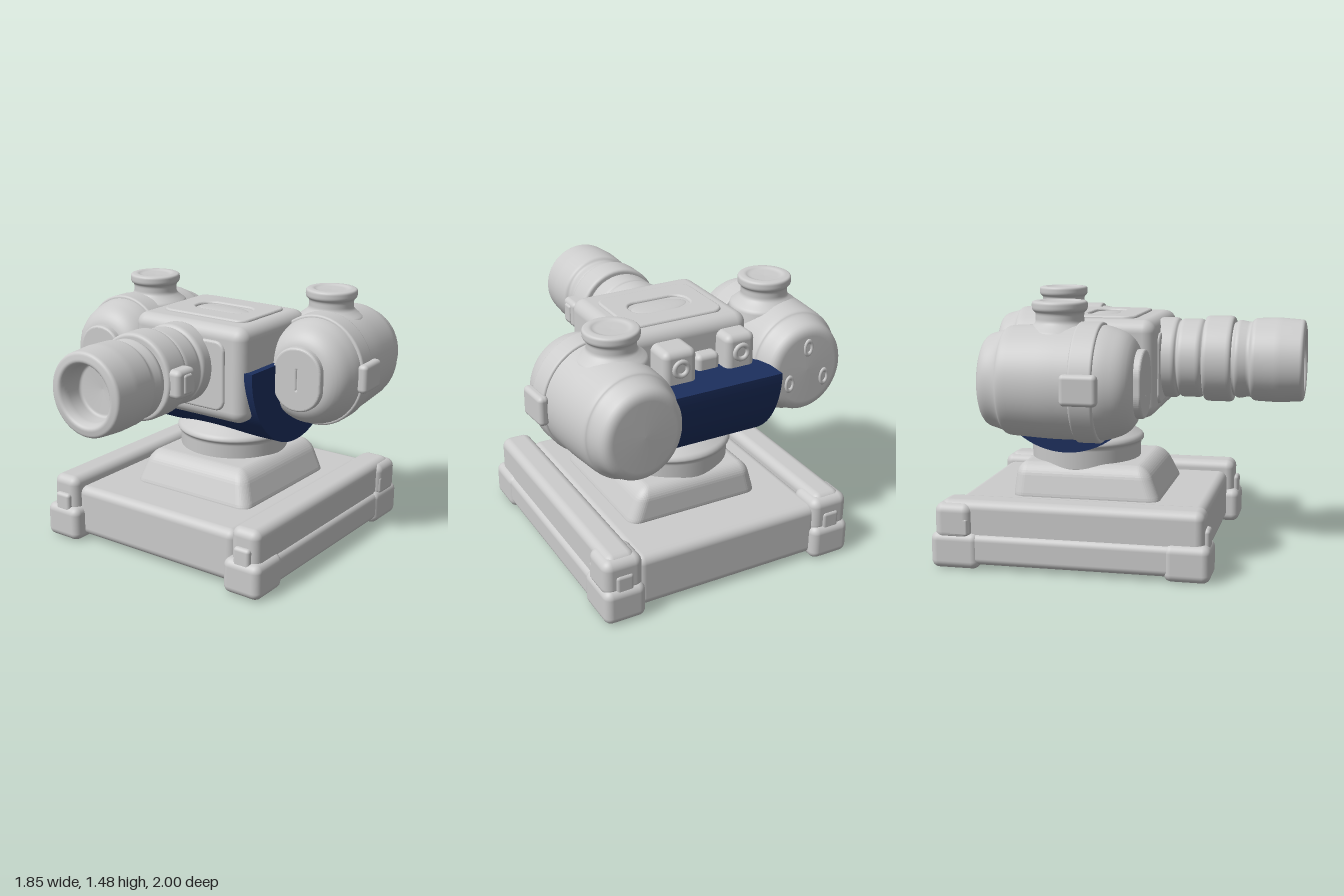
import * as THREE from 'three';
import { RoundedBoxGeometry } from 'three/addons/geometries/RoundedBoxGeometry.js';

const grey = new THREE.MeshStandardMaterial({ color: 0xcccccc, side: THREE.DoubleSide });
const blue = new THREE.MeshStandardMaterial({ color: 0x1c2f5e, side: THREE.DoubleSide });

function add(parent, name, geometry, x = 0, y = 0, z = 0, material = grey) {
  const mesh = new THREE.Mesh(geometry, material);
  mesh.name = name;
  mesh.position.set(x, y, z);
  parent.add(mesh);
  return mesh;
}

// Rounded box given by its limits on each axis
function block(parent, name, [x0, x1], [y0, y1], [z0, z1], r = 0.04) {
  const g = new RoundedBoxGeometry(x1 - x0, y1 - y0, z1 - z0, 4, r);
  return add(parent, name, g, (x0 + x1) / 2, (y0 + y1) / 2, (z0 + z1) / 2);
}

// Lathe from [radius, height] points, with softened corners
function turned(points, soft = 0.02) {
  const p = points.map(([a, b]) => new THREE.Vector2(a, b));
  const path = new THREE.Path();
  path.moveTo(p[0].x, p[0].y);
  for (let i = 1; i < p.length - 1; i++) {
    const near = (q) => p[i].clone().lerp(q, Math.min(0.45, soft / p[i].distanceTo(q)));
    const a = near(p[i - 1]), b = near(p[i + 1]);
    path.lineTo(a.x, a.y);
    path.quadraticCurveTo(p[i].x, p[i].y, b.x, b.y);
  }
  const end = p[p.length - 1];
  path.lineTo(end.x, end.y);
  return new THREE.LatheGeometry(path.getPoints(5), 48);
}
const turnedZ = (points, soft) => turned(points, soft).rotateX(Math.PI / 2);

function roundRect(target, w, h, r) {
  const x = w / 2, y = h / 2, c = Math.PI / 2;
  target.moveTo(x, r - y);
  target.absarc(x - r, y - r, r, 0, c);
  target.absarc(r - x, y - r, r, c, 2 * c);
  target.absarc(r - x, r - y, r, 2 * c, 3 * c);
  target.absarc(x - r, r - y, r, 3 * c, 4 * c);
  return target;
}

// Bevelled plate facing +z with a slot through its middle
function plate(w, h, r, holeW, holeH, depth) {
  const b = 0.014;
  const shape = roundRect(new THREE.Shape(), w - 2 * b, h - 2 * b, r - b);
  const hr = Math.min(holeW, holeH) * 0.45;
  shape.holes.push(roundRect(new THREE.Path(), holeW, holeH, hr));
  return new THREE.ExtrudeGeometry(shape, {
    depth, bevelThickness: b, bevelSize: b, bevelSegments: 4, curveSegments: 10,
  });
}

function makeBase() {
  const base = new THREE.Group();
  base.name = 'base';
  block(base, 'baseSlab', [-0.54, 0.59], [0.02, 0.33], [-0.95, 0.49], 0.05);
  for (const s of [-1, 1]) {
    const c = 0.035 + s * 0.645;
    const side = (a) => [c - a, c + a];
    block(base, 'railSkirt', side(0.112), [0.025, 0.2], [-0.98, 0.55]);
    block(base, 'railBar', side(0.09), [0.14, 0.385], [-0.95, 0.53], 0.05);
    for (const [z0, z1, lugZ] of [[-1, -0.72, -0.96], [0.31, 0.565, 0.53]]) {
      block(base, 'foot', side(0.12), [0, 0.205], [z0, z1], 0.045);
      block(base, 'footLug', side(0.052), [0.15, 0.285], [lugZ - 0.025, lugZ + 0.025], 0.02);
    }
    block(base, 'railEndCap', side(0.115), [0.16, 0.37], [-0.975, -0.76], 0.05);
    block(base, 'sideLug', [c + s * 0.1 - 0.015, c + s * 0.1 + 0.015], [0.19, 0.29], [-0.89, -0.78], 0.014);
  }

  // Pedestal narrows toward the top and leans slightly back
  const g = new RoundedBoxGeometry(0.84, 0.24, 0.89, 5, 0.07);
  const pos = g.attributes.position;
  for (let i = 0; i < pos.count; i++) {
    const t = THREE.MathUtils.clamp((pos.getY(i) + 0.12) / 0.24, 0, 1);
    pos.setX(i, pos.getX(i) * (1 - 0.2 * t) - 0.02 * t);
    pos.setZ(i, pos.getZ(i) * (1 - 0.14 * t) - 0.04 * t);
  }
  g.computeVertexNormals();
  add(base, 'pedestal', g, 0.08, 0.4, -0.21);

  // Round swivel neck with a flange
  add(base, 'swivelNeck', turned([[0, 0.48], [0.32, 0.48], [0.325, 0.61], [0.345, 0.625],
    [0.335, 0.65], [0.25, 0.7], [0, 0.7]], 0.015), 0.045, 0, -0.29);
  return base;
}

function makeCradle() {
  const shape = new THREE.Shape();
  shape.absellipse(0, 0, 0.47, 0.505, Math.PI, 2 * Math.PI);
  shape.closePath();
  const g = new THREE.ExtrudeGeometry(shape, { depth: 0.84, bevelEnabled: false, curveSegments: 48 });
  g.translate(0, 0, -0.42).rotateY(Math.PI / 2);
  const mesh = new THREE.Mesh(g, blue);
  mesh.name = 'cradle';
  mesh.position.set(0.05, 1.115, -0.31);
  return mesh;
}

function makeBody() {
  const body = new THREE.Group();
  body.name = 'body';
  block(body, 'housing', [-0.34, 0.43], [0.81, 1.36], [-0.48, 0.19], 0.07);
  const top = add(body, 'topPanel', plate(0.58, 0.45, 0.07, 0.38, 0.2, 0.01), 0.05, 1.35, -0.165);
  top.rotation.x = -Math.PI / 2;
  add(body, 'topDish', new THREE.SphereGeometry(1, 32, 16).scale(0.17, 0.012, 0.08), 0.05, 1.358, -0.165);
  add(body, 'frontPanel', plate(0.56, 0.4, 0.06, 0.3, 0.3, 0.01), 0.03, 1.08, 0.18);

  // Rear lugs
  block(body, 'rearLug', [-0.31, -0.13], [1.05, 1.3], [-0.6, -0.42], 0.04);
  block(body, 'rearBridge', [-0.12, 0.02], [1.05, 1.2], [-0.55, -0.42], 0.03);
  block(body, 'rearLug', [0.07, 0.27], [1.05, 1.3], [-0.635, -0.42], 0.04);
  add(body, 'lugEye', new THREE.TorusGeometry(0.04, 0.014, 10, 24), -0.22, 1.2, -0.6);
  add(body, 'lugEye', new THREE.TorusGeometry(0.04, 0.014, 10, 24), 0.17, 1.2, -0.635);
  return body;
}

function makeBarrel() {
  const barrel = new THREE.Group();
  barrel.name = 'barrel';
  barrel.position.set(0, 1.12, 0);
  add(barrel, 'barrelTube', turnedZ([[0.2, 0.15], [0.23, 0.17], [0.23, 0.27], [0.21, 0.285], [0.225, 0.3],
    [0.225, 0.41], [0.205, 0.43], [0.205, 0.6], [0.225, 0.62], [0.21, 0.69], [0.235, 0.71],
    [0.24, 0.85], [0.23, 0.99], [0.175, 1.0], [0.155, 0.96], [0.15, 0.86], [0, 0.85]], 0.018));
  add(barrel, 'clampRing', turnedZ([[0.2, 0.43], [0.245, 0.43], [0.245, 0.595], [0.2, 0.595]], 0.03));
  block(barrel, 'clampKnob', [0.2, 0.3], [-0.08, 0.08], [0.435, 0.585], 0.03);
  block(barrel, 'clampTab', [0.28, 0.31], [-0.055, 0.055], [0.475, 0.545], 0.014);
  return barrel;
}

function makeDrum(s) {
  const drum = new THREE.Group();
  drum.name = s > 0 ? 'leftDrum' : 'rightDrum';
  const shell = add(drum, 'drumShell', turnedZ([[0, -0.59], [0.245, -0.585], [0.275, -0.47], [0.298, -0.455],
    [0.312, -0.2], [0.312, 0.08], [0.27, 0.2], [0.2, 0.255], [0, 0.26]], 0.05));
  const strap = add(drum, 'strap', turnedZ([[0.29, -0.065], [0.326, -0.065], [0.326, 0.065], [0.29, 0.065]], 0.015));
  shell.scale.x = strap.scale.x = 0.93;
  const x = s * 0.305;
  block(drum, 'buckle', [x - 0.03, x + 0.03], [-0.08, 0.085], [-0.1, 0.1], 0.025);
  add(drum, 'frontPad', plate(0.3, 0.37, 0.145, 0.025, 0.14, 0.09), 0, 0, 0.19);

  // Filler cap on top
  add(drum, 'fillerCap', turned([[0.2, 0.2], [0.19, 0.27], [0.15, 0.3], [0.13, 0.32], [0.13, 0.37],
    [0.15, 0.385], [0.15, 0.43], [0.11, 0.435], [0.09, 0.425], [0, 0.422]], 0.015), -s * 0.04, 0, -0.185);

  // Sockets around the rear face of one drum
  if (s < 0) {
    for (let i = 0; i < 3; i++) {
      const a = Math.PI / 2 + i * Math.PI * 2 / 3;
      add(drum, 'rearSocket', new THREE.TorusGeometry(0.028, 0.01, 10, 24).scale(0.8, 1.4, 1),
        Math.cos(a) * 0.13, Math.sin(a) * 0.13, -0.588);
    }
  }
  return drum;
}

export function createModel() {
  const model = new THREE.Group();
  model.name = 'turretDevice';
  model.add(makeBase(), makeCradle(), makeBody(), makeBarrel());
  const left = makeDrum(1), right = makeDrum(-1);
  left.position.set(0.585, 1.05, -0.375);
  left.rotation.y = 0.06;
  right.position.set(-0.595, 1.05, -0.1);
  model.add(left, right);
  return model;
}
